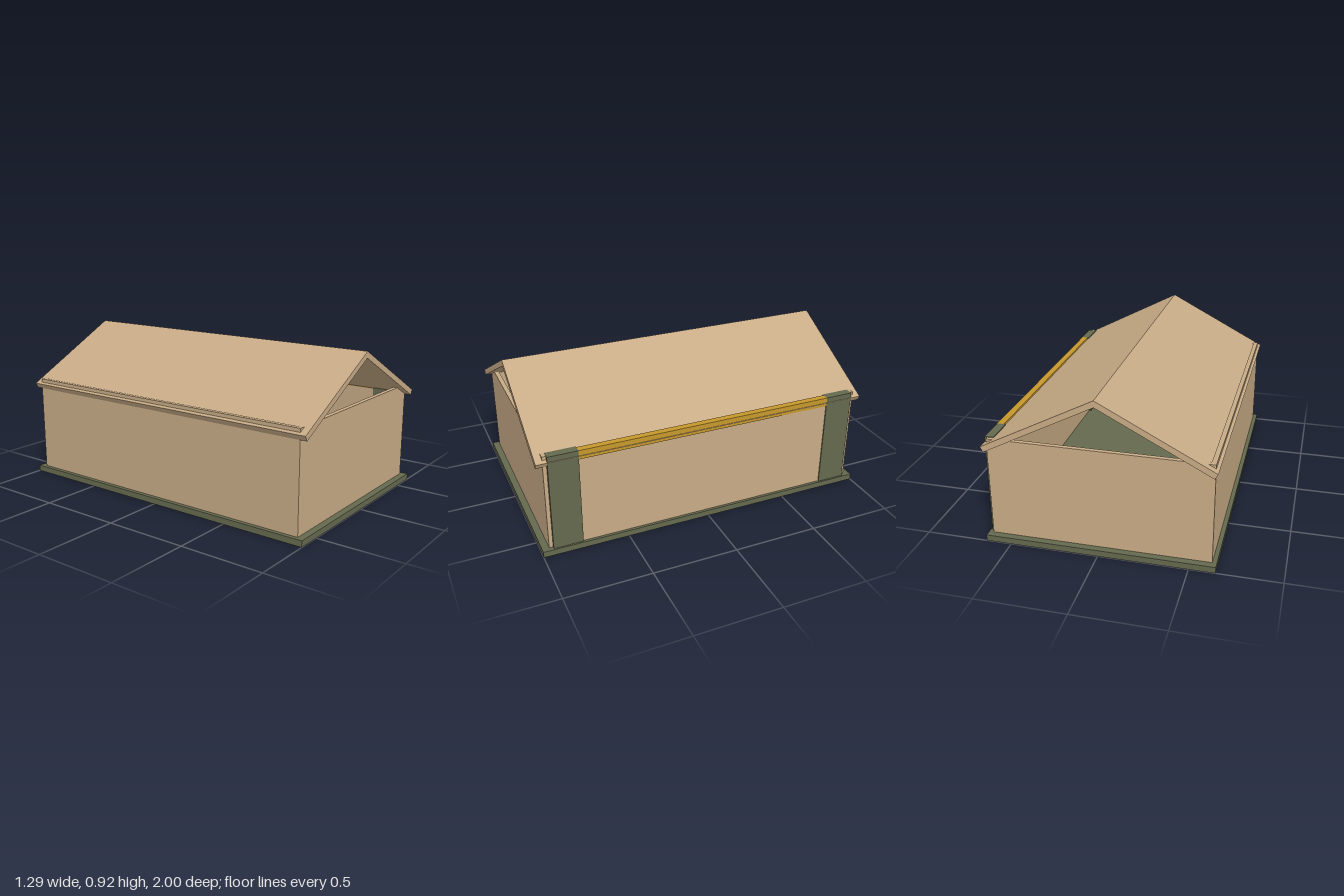
import * as THREE from 'three';

export function createModel() {
  const group = new THREE.Group();
  group.name = 'garage';

  const material = (name, color) => {
    const m = new THREE.MeshStandardMaterial({ color });
    m.name = name;
    return m;
  };
  const tan = material('tan cladding', 0xc8ab86);
  const green = material('olive green', 0x65694e);
  const amber = material('amber', 0xc6982c);

  // Axis-aligned box given by its limits
  const box = (name, mat, x0, x1, y0, y1, z0, z1) => {
    const mesh = new THREE.Mesh(new THREE.BoxGeometry(x1 - x0, y1 - y0, z1 - z0), mat);
    mesh.position.set((x0 + x1) / 2, (y0 + y1) / 2, (z0 + z1) / 2);
    mesh.name = name;
    group.add(mesh);
  };

  const floor = 0.036, wallTop = 0.616, t = 0.027;

  // Floor slab
  box('floorSlab', green, -0.645, 0.645, 0, floor, -1, 1);

  // Hollow walls
  box('frontWall', tan, -0.62, 0.618, floor, wallTop, 0.96 - t, 0.96);
  box('backWall', tan, -0.62, 0.618, floor, wallTop, -0.96, -0.96 + t);
  box('rightWall', tan, -0.62, -0.62 + t, floor, wallTop, -0.96 + t, 0.96 - t);

  // Wide door with corner posts and a lintel
  box('doorPanel', tan, 0.6, 0.629, floor, 0.566, -0.767, 0.767);
  box('doorLintel', amber, 0.595, 0.635, 0.566, 0.619, -0.767, 0.767);
  box('frontPost', green, 0.585, 0.635, floor, 0.619, 0.767, 0.938);
  box('backPost', green, 0.585, 0.635, floor, 0.619, -0.938, -0.767);

  // Pitched roof: two mirrored slabs meeting in a mitre, with square-cut eaves
  for (const side of [1, -1]) {
    const profile = new THREE.Shape([
      [0, 0.917], [0, 0.879], [side * 0.621, 0.556], [side * 0.637, 0.586],
    ].map(([x, y]) => new THREE.Vector2(x, y)));
    const geometry = new THREE.ExtrudeGeometry(profile, { depth: 2, bevelEnabled: false });
    geometry.translate(0, 0, -1);
    const slab = new THREE.Mesh(geometry, tan);
    slab.name = side > 0 ? 'leftRoofSlab' : 'rightRoofSlab';
    group.add(slab);
  }

  return group;
}
